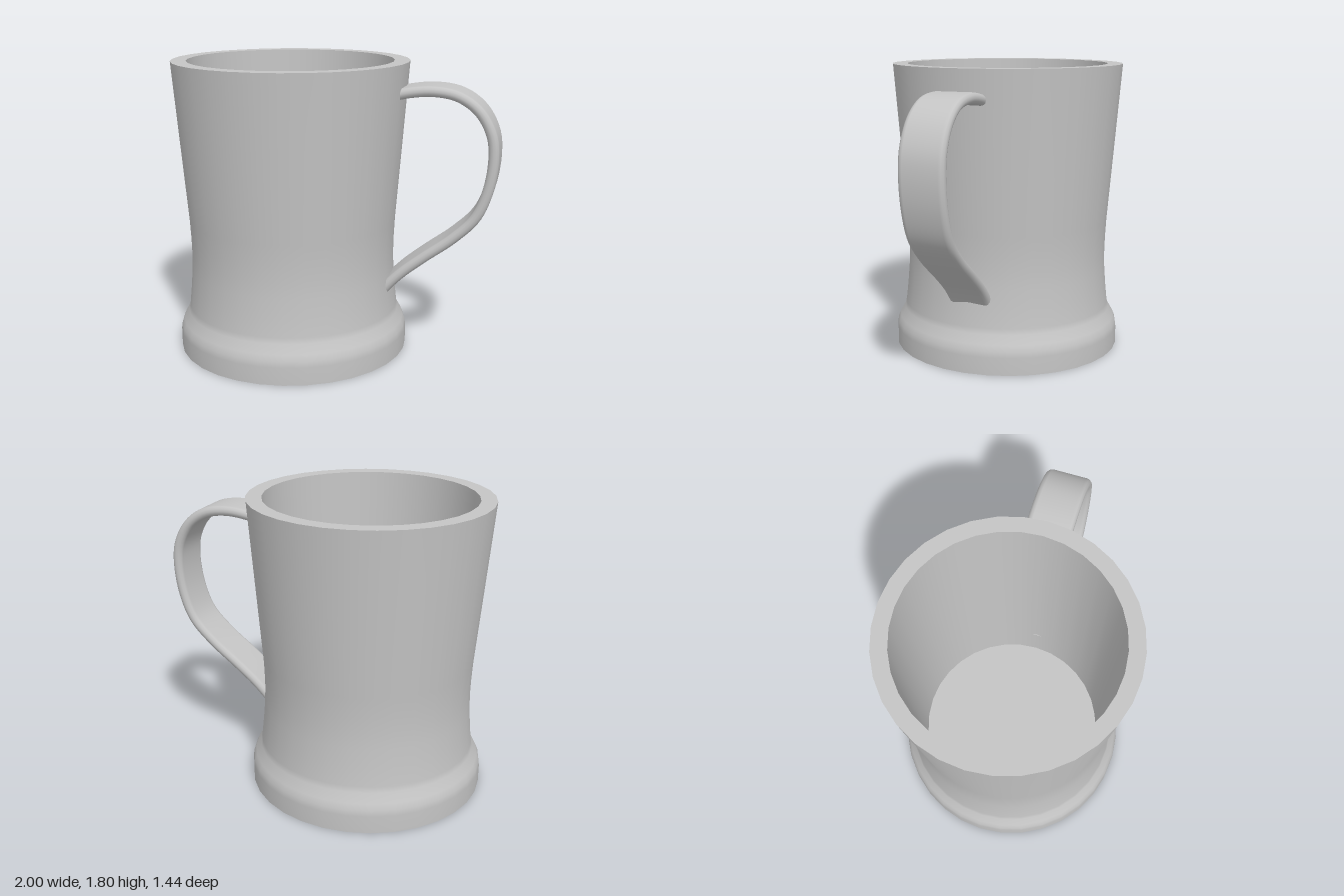
import * as THREE from 'three';

const CUP_X = -0.28;

// Sweep a rounded strap section along a curve lying in the xy plane
function strapGeometry(curve, halfWidth, halfThick, steps) {
  const section = [];
  const arc = 6;
  for (const side of [1, -1]) {
    for (let i = 0; i <= arc; i++) {
      const a = (i / arc) * Math.PI;
      section.push([
        side * (halfWidth - halfThick + halfThick * Math.sin(a)),
        side * halfThick * Math.cos(a),
      ]);
    }
  }
  const n = section.length;
  const positions = [];
  const indices = [];
  for (let s = 0; s <= steps; s++) {
    const p = curve.getPointAt(s / steps);
    const t = curve.getTangentAt(s / steps);
    for (const [w, h] of section) positions.push(p.x - t.y * h, p.y + t.x * h, w);
    if (s === steps) continue;
    for (let i = 0; i < n; i++) {
      const a = s * n + i;
      const b = s * n + ((i + 1) % n);
      indices.push(a, b, a + n, b, b + n, a + n);
    }
  }
  const geometry = new THREE.BufferGeometry();
  geometry.setAttribute('position', new THREE.Float32BufferAttribute(positions, 3));
  geometry.setIndex(indices);
  geometry.computeVertexNormals();
  return geometry;
}

export function createModel() {
  const group = new THREE.Group();
  group.name = 'mug';
  const grey = new THREE.MeshStandardMaterial({ color: 0xc4c4c4 });
  grey.name = 'grey';

  // Cup surfaces, split where the edges are sharp
  const surfaces = {
    underside: [[0, 0], [0.72, 0]],
    outerWall: [
      [0.72, 0], [0.72, 0.11], [0.715, 0.145], [0.7, 0.18], [0.668, 0.235], [0.66, 0.27],
      [0.648, 0.38], [0.638, 0.5], [0.635, 0.6], [0.637, 0.7], [0.643, 0.82], [0.72, 1.8],
    ],
    rim: [[0.72, 1.8], [0.627, 1.8]],
    innerWall: [[0.627, 1.8], [0.57, 0.2]],
    floor: [[0.57, 0.2], [0, 0.2]],
  };
  for (const [name, profile] of Object.entries(surfaces)) {
    const points = profile.map(([r, y]) => new THREE.Vector2(r, y));
    const mesh = new THREE.Mesh(new THREE.LatheGeometry(points, 32), grey);
    mesh.name = name;
    mesh.position.x = CUP_X;
    group.add(mesh);
  }

  // Strap handle, its ends buried in the wall
  const path = new THREE.CatmullRomCurve3([
    [0.37, 1.615], [0.45, 1.634], [0.6, 1.648], [0.75, 1.622], [0.87, 1.54], [0.945, 1.41],
    [0.963, 1.28], [0.938, 1.08], [0.87, 0.91], [0.74, 0.775], [0.57, 0.645], [0.44, 0.54],
    [0.35, 0.45], [0.32, 0.412],
  ].map(([x, y]) => new THREE.Vector3(x, y, 0)));
  const handle = new THREE.Mesh(strapGeometry(path, 0.135, 0.032, 64), grey);
  handle.name = 'handle';
  group.add(handle);

  return group;
}
